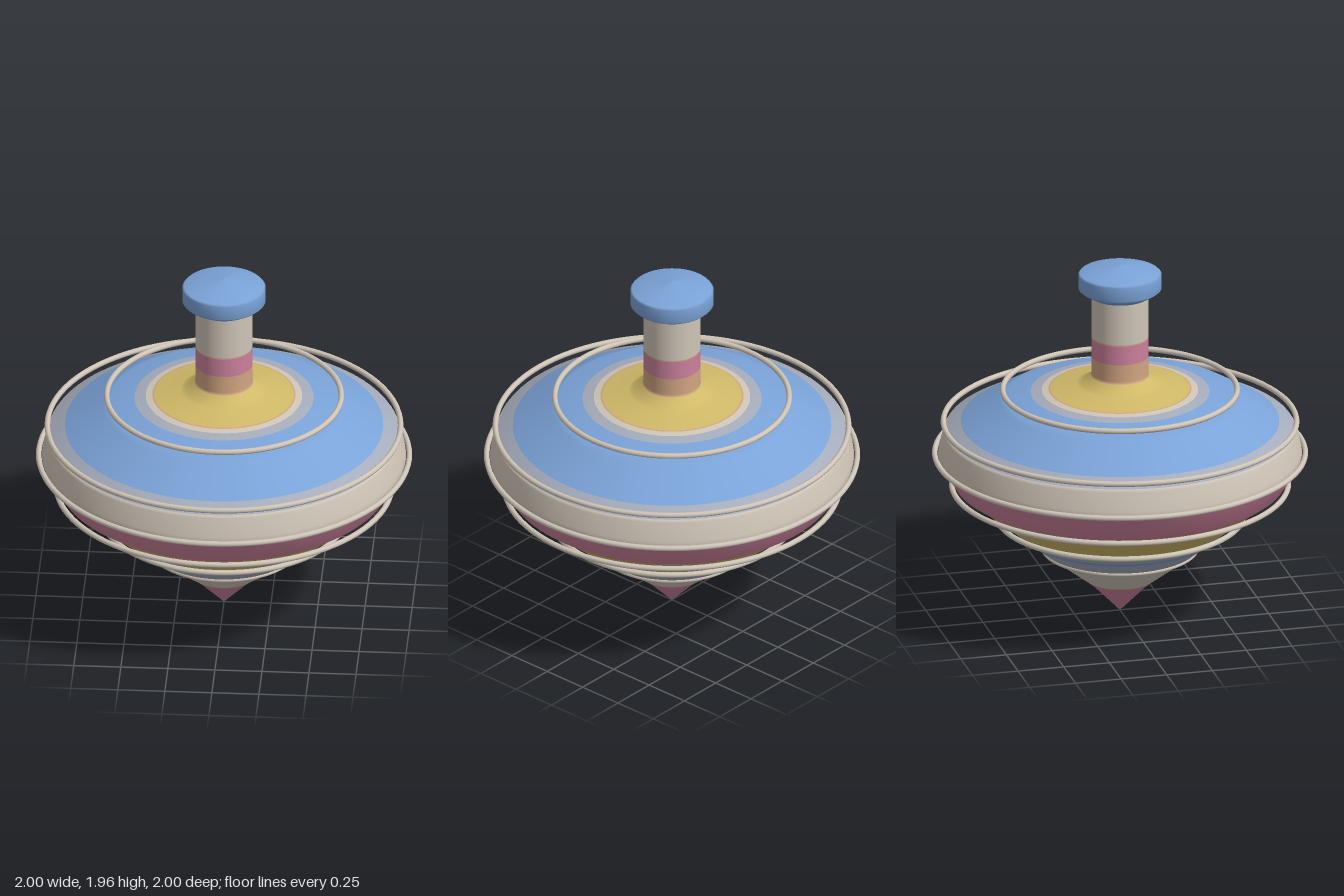
import * as THREE from 'three';

const mat = (name, color) => {
  const m = new THREE.MeshStandardMaterial({ color });
  m.name = name;
  return m;
};

const SEGMENTS = 96;

// Lathe whose profile segments each take their own material.
// Every row is [radius, height, material of the band above this point].
function bandedLathe(rows, materials) {
  const geo = new THREE.LatheGeometry(rows.map(([r, y]) => new THREE.Vector2(r, y)), SEGMENTS);
  const old = geo.getIndex().array;
  const bands = rows.length - 1;
  const index = [];
  for (let j = 0; j < bands; j++) {
    geo.addGroup(index.length, SEGMENTS * 6, materials.indexOf(rows[j][2]));
    for (let i = 0; i < SEGMENTS; i++) {
      const start = (i * bands + j) * 6;
      for (let k = 0; k < 6; k++) index.push(old[start + k]);
    }
  }
  geo.setIndex(index);
  return new THREE.Mesh(geo, materials);
}

export function createModel() {
  const group = new THREE.Group();
  group.name = 'spinningTop';

  const cream = mat('cream', 0xcfc5b8);
  const pink = mat('pink', 0xcb809b);
  const orange = mat('orange', 0xd0a480);
  const yellow = mat('yellow', 0xd0b968);
  const blue = mat('blue', 0x7ba3d8);
  const grey = mat('greyBlue', 0xa5acbb);

  // Body and stem, from the tip upwards
  const body = bandedLathe([
    [0, 0, pink],
    [0.135, 0.14, pink],
    [0.18, 0.18, orange],
    [0.19, 0.188, cream],
    [0.405, 0.355, grey],
    [0.505, 0.437, blue],
    [0.53, 0.458, grey],
    [0.62, 0.535, yellow],
    [0.78, 0.668, orange],
    [0.82, 0.7, orange],
    [0.85, 0.718, pink],
    [0.88, 0.74, pink],
    [0.96, 0.87, pink],
    [0.966, 0.89, cream],
    [0.962, 0.92, cream],
    [0.935, 1.02, cream],
    [0.925, 1.035, grey],
    [0.845, 1.075, blue],
    [0.64, 1.197, blue],
    [0.61, 1.208, blue],
    [0.475, 1.24, grey],
    [0.415, 1.25, cream],
    [0.38, 1.257, orange],
    [0.37, 1.259, yellow],
    [0.23, 1.288, yellow],
    [0.205, 1.3, yellow],
    [0.155, 1.335, orange],
    [0.152, 1.35, orange],
    [0.152, 1.445, pink],
    [0.152, 1.55, orange],
    [0.152, 1.557, cream],
    [0.152, 1.8, cream],
  ], [cream, pink, orange, yellow, blue, grey]);
  body.name = 'body';
  group.add(body);

  // Knob at the top of the stem
  const knob = new THREE.Mesh(new THREE.LatheGeometry([
    [0.14, 1.785], [0.155, 1.785], [0.205, 1.815], [0.221, 1.83],
    [0.221, 1.905], [0.212, 1.915], [0.12, 1.936], [0, 1.957],
  ].map(([r, y]) => new THREE.Vector2(r, y)), SEGMENTS), blue);
  knob.name = 'knob';
  group.add(knob);

  // Hoops around the body: [centre radius, height, tube radius]
  const hoops = [
    [0.622, 1.25, 0.015], [0.937, 1.07, 0.015], [0.983, 0.893, 0.015],
    [0.893, 0.716, 0.015], [0.653, 0.536, 0.015], [0.408, 0.356, 0.012],
  ];
  hoops.forEach(([r, y, tube], i) => {
    const hoop = new THREE.Mesh(new THREE.TorusGeometry(r, tube, 10, SEGMENTS), cream);
    hoop.rotation.x = Math.PI / 2;
    hoop.position.y = y;
    hoop.name = `hoop${i + 1}`;
    group.add(hoop);
  });

  return group;
}
